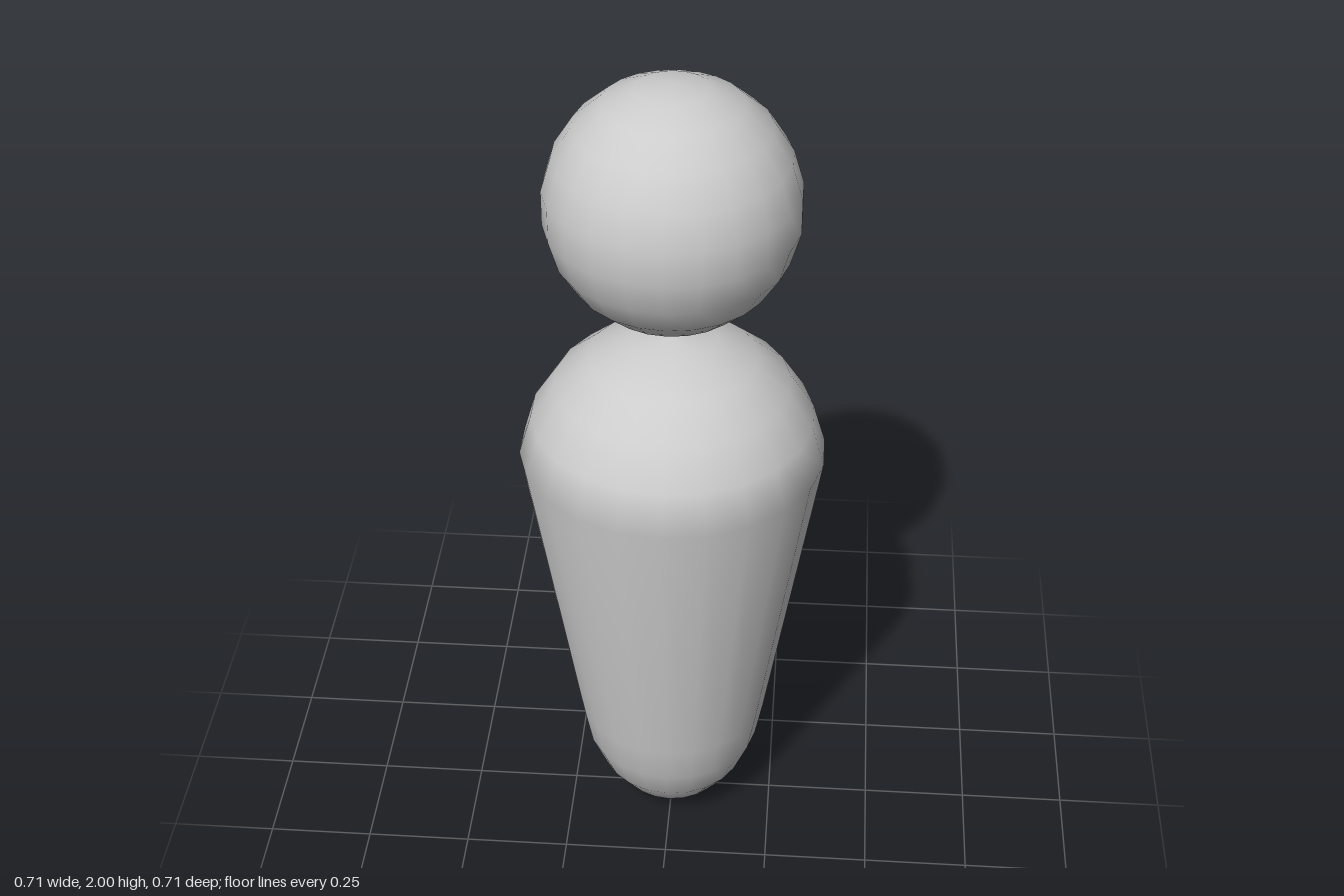
import * as THREE from 'three';

const SIDES = 22, ROWS = 11;

export function createModel() {
  const model = new THREE.Group();
  const material = new THREE.MeshStandardMaterial({ color: 0xcccccc });

  // Round head floating above the body
  const head = new THREE.Mesh(new THREE.SphereGeometry(0.288, SIDES, ROWS), material);
  head.name = 'head';
  head.rotation.y = Math.PI / 2;
  head.position.y = 1.712;
  model.add(head);

  // Body: a stretched sphere whose lower half is narrowed
  const radius = 0.36, topCentre = 1.017, bottomCentre = 0.36, taper = 0.65;
  const profile = [];
  for (let i = 0; i <= ROWS; i++) {
    const angle = Math.PI * i / ROWS; // from the bottom pole to the top pole
    const lower = i < ROWS / 2;
    const r = i === 0 || i === ROWS ? 0 : radius * Math.sin(angle) * (lower ? taper : 1);
    profile.push(new THREE.Vector2(r, (lower ? bottomCentre : topCentre) - radius * Math.cos(angle)));
  }
  const body = new THREE.Mesh(new THREE.LatheGeometry(profile, SIDES), material);
  body.name = 'body';
  model.add(body);

  return model;
}
